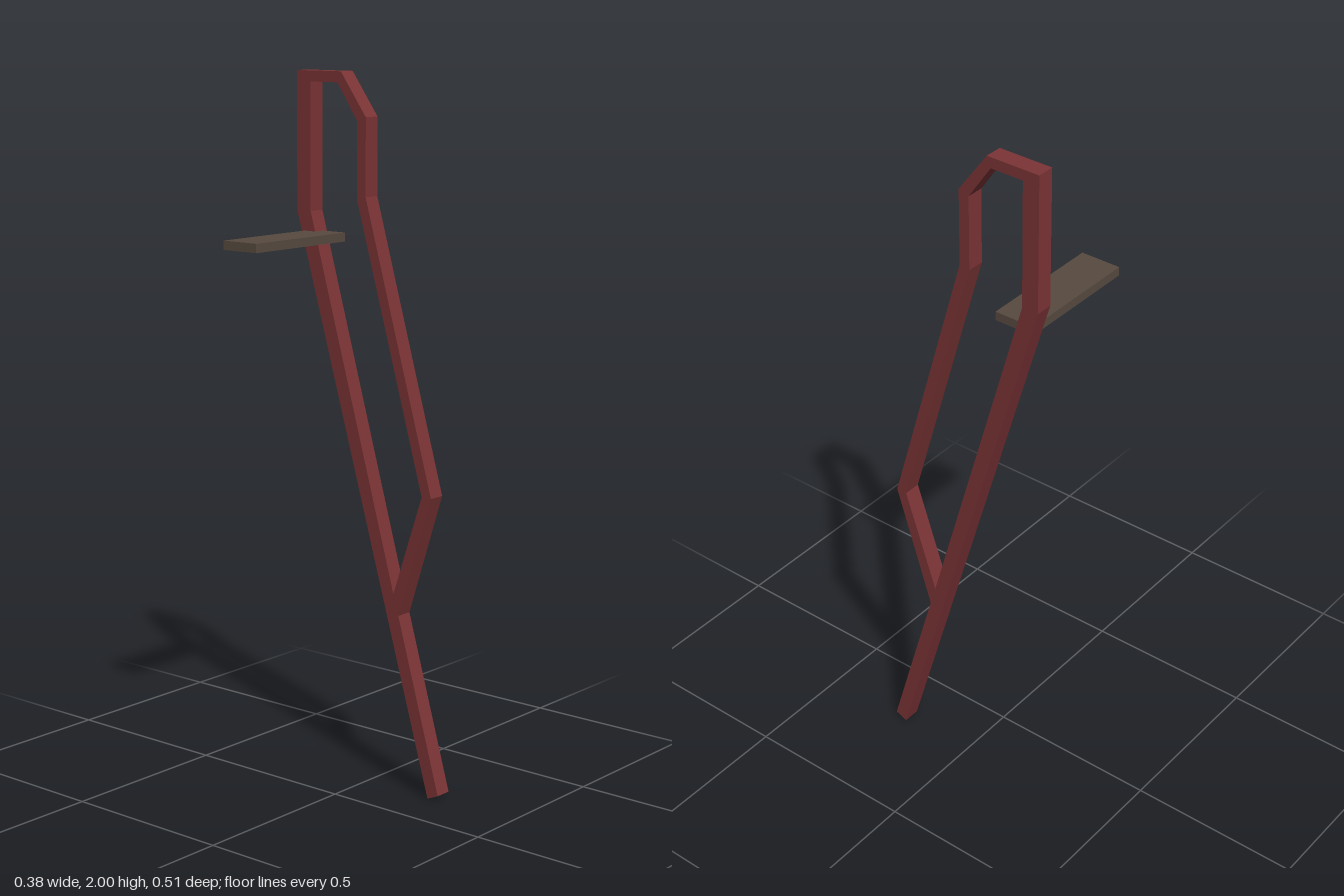
import * as THREE from 'three';

export function createModel() {
  const model = new THREE.Group();
  const redPaint = new THREE.MeshStandardMaterial({ color: 0x7c3436 });
  const brownStep = new THREE.MeshStandardMaterial({ color: 0x584b40 });

  // Side profiles as [z, y]; negated z becomes the shape's x before turning
  const points = (list) => list.map(([z, y]) => new THREE.Vector2(-z, y));
  const outline = points([
    [0.22, 0], [-0.256, 1.615], [-0.256, 2], [-0.098, 2], [-0.01, 1.88],
    [-0.01, 1.665], [0.223, 0.86], [0.112, 0.51], [0.256, 0.015],
  ]);
  const opening = points([
    [-0.11, 1.97], [-0.207, 1.97], [-0.207, 1.615], [0.094, 0.57],
    [0.191, 0.86], [-0.041, 1.66], [-0.041, 1.87],
  ]);

  // Leaning rail and grab loop, cut as one flat bar frame
  const profile = new THREE.Shape(outline);
  profile.holes.push(new THREE.Path(opening));
  const railGeometry = new THREE.ExtrudeGeometry(profile, { depth: 0.05, bevelEnabled: false });
  railGeometry.rotateY(Math.PI / 2);
  const rail = new THREE.Mesh(railGeometry, redPaint);
  rail.name = 'railFrame';
  rail.position.x = 0.14;
  model.add(rail);

  // Flat step reaching sideways from the rail
  const left = -0.19, right = 0.175;
  const step = new THREE.Mesh(new THREE.BoxGeometry(right - left, 0.025, 0.118), brownStep);
  step.name = 'step';
  step.position.set((left + right) / 2, 1.547, -0.171);
  model.add(step);

  return model;
}
